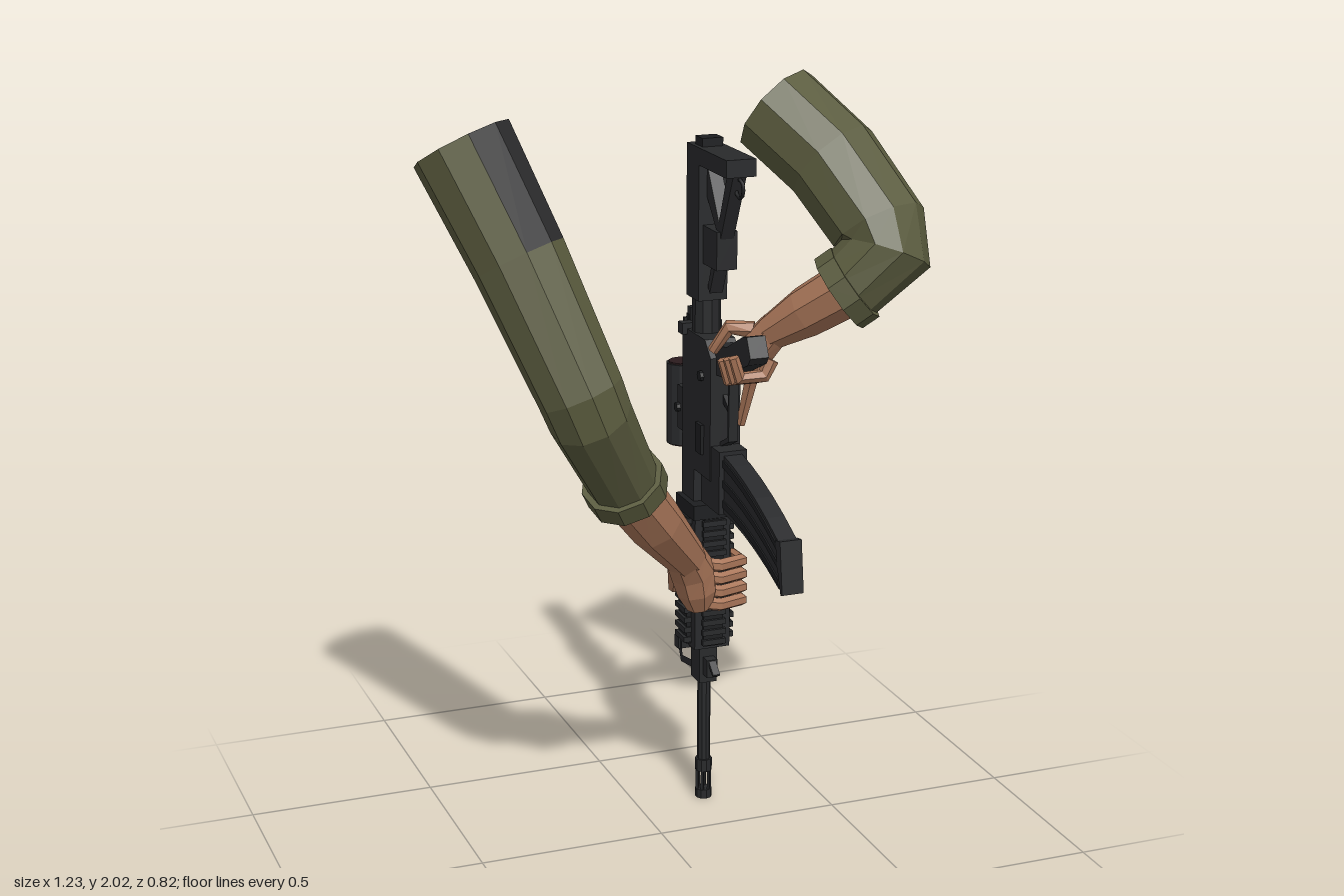
import * as THREE from 'three';

const mat = (name, color) => Object.assign(new THREE.MeshStandardMaterial({ color }), { name });
const olive = mat('olive sleeve', 0x5a5b3e);
const patch = mat('dark sleeve patch', 0x2c2c2d);
const skin = mat('skin', 0xa87558);
const metal = mat('gun metal', 0x28292b);
const dark = mat('dark metal', 0x1d1e20);
const lens = mat('lens', 0x2c1c1e);
const V = (a) => new THREE.Vector3(...a);
const GX = 0.193, GZ = -0.183; // gun axis

export function createModel() {
  const root = new THREE.Group();
  const part = (name) => {
    const g = new THREE.Group();
    g.name = name;
    root.add(g);
    return g;
  };
  const add = (parent, name, geometry, material) => {
    const m = new THREE.Mesh(geometry, material);
    m.name = name;
    parent.add(m);
    return m;
  };
  const box = (p, name, m, x0, x1, y0, y1, z0, z1) => {
    const g = new THREE.BoxGeometry(x1 - x0, y1 - y0, Math.abs(z1 - z0));
    return add(p, name, g.translate((x0 + x1) / 2, (y0 + y1) / 2, (z0 + z1) / 2), m);
  };
  // flat-sided rod between two points
  const rod = (p, name, m, a, b, r, n = 10, r2 = r) => {
    const d = V(b).sub(V(a));
    let g = new THREE.CylinderGeometry(r2, r, d.length(), n).toNonIndexed();
    g.computeVertexNormals();
    g.applyQuaternion(new THREE.Quaternion().setFromUnitVectors(new THREE.Vector3(0, 1, 0), d.clone().normalize()));
    const c = V(a).addScaledVector(d, 0.5);
    return add(p, name, g.translate(c.x, c.y, c.z), m);
  };
  // side profile of [z, y] points, extruded across x
  const plate = (p, name, m, pts, x0, x1, hole) => {
    const shape = new THREE.Shape(pts.map((q) => new THREE.Vector2(...q)));
    if (hole) shape.holes.push(new THREE.Path(hole.map((q) => new THREE.Vector2(...q))));
    const g = new THREE.ExtrudeGeometry(shape, { depth: x1 - x0, bevelEnabled: false });
    return add(p, name, g.rotateY(-Math.PI / 2).translate(x1, 0, 0), m);
  };
  // faceted limb through rings [x, y, z, radius]; painted faces take the second material
  const limb = (p, name, mats, rings, n, ref, painted = () => false) => {
    const c = rings.map((r) => V(r));
    const loops = rings.map((r, i) => {
      const T = new THREE.Vector3();
      if (i > 0) T.add(c[i].clone().sub(c[i - 1]).normalize());
      if (i < c.length - 1) T.add(c[i + 1].clone().sub(c[i]).normalize());
      T.normalize();
      const u = V(ref).addScaledVector(T, -T.dot(V(ref))).normalize();
      const v = T.clone().cross(u);
      return Array.from({ length: n }, (_, j) => {
        const a = (j / n) * Math.PI * 2;
        return c[i].clone().addScaledVector(u, Math.cos(a) * r[3]).addScaledVector(v, Math.sin(a) * r[3]);
      });
    });
    const out = [[], []], last = loops.length - 1;
    for (let j = 0; j < n; j++) {
      const k = (j + 1) % n;
      for (let i = 0; i < last; i++) {
        const [a, b, d, e] = [loops[i][j], loops[i][k], loops[i + 1][k], loops[i + 1][j]];
        out[painted(i, j) ? 1 : 0].push(a, b, d, a, d, e);
      }
      out[0].push(c[0], loops[0][k], loops[0][j], c[last], loops[last][j], loops[last][k]);
    }
    const g = new THREE.BufferGeometry().setFromPoints([...out[0], ...out[1]]);
    g.addGroup(0, out[0].length, 0);
    if (out[1].length) g.addGroup(out[0].length, out[1].length, 1);
    g.computeVertexNormals();
    return add(p, name, g, mats);
  };

  // arm reaching to the handguard, with a dark patch on the inner half of the upper sleeve
  const sup = part('supportArm');
  limb(sup, 'sleeve', [olive, patch], [
    [-0.49, 1.885, -0.07, 0.13], [-0.385, 1.615, 0.045, 0.12], [-0.275, 1.3, 0.175, 0.108],
    [-0.25, 1.235, 0.175, 0.105], [-0.12, 1.01, 0.07, 0.09],
  ], 10, [0, 0, 1], (i, j) => i === 0 && j >= 5);
  limb(sup, 'cuff', [olive], [[-0.137, 1.04, 0.082, 0.108], [-0.112, 0.995, 0.06, 0.108]], 10, [0, 0, 1]);
  limb(sup, 'forearm', [skin], [
    [-0.12, 1.01, 0.07, 0.078], [-0.02, 0.885, 0.01, 0.074], [0.1, 0.745, -0.075, 0.055],
  ], 8, [0, 0, 1]);
  limb(sup, 'palm', [skin], [
    [0.09, 0.755, -0.07, 0.055], [0.125, 0.7, -0.1, 0.062], [0.14, 0.64, -0.105, 0.055], [0.15, 0.59, -0.11, 0.035],
  ], 8, [0, 0, 1]);
  limb(sup, 'thumb', [skin], [
    [0.11, 0.74, -0.11, 0.026], [0.11, 0.68, -0.18, 0.024], [0.118, 0.61, -0.215, 0.016],
  ], 6, [1, 0, 0]);
  for (let i = 0; i < 4; i++) {
    const y = 0.597 + i * 0.037;
    limb(sup, 'finger', [skin], [
      [0.12, y + 0.012, -0.105, 0.018], [0.2, y, -0.087, 0.018],
      [0.268, y, -0.105, 0.018], [0.268, y, -0.185, 0.013],
    ], 6, [0, 1, 0]);
  }

  // arm holding the pistol grip
  const grip = part('triggerArm');
  const bend = [0.66, -0.34, -0.75];
  limb(grip, 'sleeve', [olive], [
    [0.345, 1.915, -0.09, 0.126], [0.44, 1.8, 0.05, 0.125], [0.505, 1.655, 0.19, 0.122],
    [0.51, 1.595, 0.225, 0.115], [0.41, 1.505, 0.2, 0.095],
  ], 10, bend);
  limb(grip, 'cuff', [olive], [[0.435, 1.525, 0.21, 0.105], [0.398, 1.495, 0.193, 0.105]], 10, bend);
  limb(grip, 'forearm', [skin], [
    [0.41, 1.505, 0.2, 0.072], [0.34, 1.44, 0.13, 0.066], [0.268, 1.375, 0.065, 0.045],
  ], 8, bend);
  limb(grip, 'palm', [skin], [
    [0.28, 1.39, 0.075, 0.045], [0.25, 1.34, 0.045, 0.05], [0.24, 1.28, 0.02, 0.034],
  ], 8, bend);
  limb(grip, 'indexFinger', [skin], [
    [0.25, 1.31, 0.03, 0.02], [0.245, 1.22, -0.005, 0.018], [0.235, 1.11, -0.04, 0.013],
  ], 6, [1, 0, 0]);
  limb(grip, 'thumb', [skin], [
    [0.235, 1.38, 0.04, 0.023], [0.18, 1.385, 0.01, 0.02], [0.145, 1.32, -0.015, 0.014],
  ], 6, [0, 0, 1]);
  for (let i = 0; i < 3; i++) {
    const z = 0.045 + i * 0.037, y = 1.262 + i * 0.012;
    limb(grip, 'finger', [skin], [
      [0.25, y + 0.035, z, 0.02], [0.23, y - 0.005, z, 0.019], [0.165, y - 0.005, z, 0.018], [0.148, y + 0.05, z, 0.014],
    ], 6, [0, 0, 1]);
  }

  // barrel and slotted muzzle
  const barrel = part('barrel');
  rod(barrel, 'tube', metal, [GX, 0.1, GZ], [GX, 0.48, GZ], 0.018);
  rod(barrel, 'muzzleTip', metal, [GX, 0, GZ], [GX, 0.025, GZ], 0.023);
  rod(barrel, 'muzzleCollar', metal, [GX, 0.08, GZ], [GX, 0.115, GZ], 0.023);
  for (let i = 0; i < 6; i++) {
    const a = (i / 6) * Math.PI * 2, x = GX + Math.cos(a) * 0.018, z = GZ + Math.sin(a) * 0.018;
    rod(barrel, 'muzzleProng', metal, [x, 0.02, z], [x, 0.085, z], 0.005, 4);
  }

  // front sight block, folding frame and lug
  const sight = part('frontSight');
  box(sight, 'block', metal, GX - 0.025, GX + 0.025, 0.35, 0.45, -0.217, -0.152);
  plate(sight, 'frame', metal, [[-0.2, 0.37], [-0.32, 0.35], [-0.335, 0.38], [-0.335, 0.42], [-0.32, 0.45], [-0.2, 0.43]],
    GX - 0.014, GX + 0.014, [[-0.22, 0.388], [-0.308, 0.372], [-0.318, 0.4], [-0.308, 0.428], [-0.22, 0.412]]);
  box(sight, 'post', metal, GX - 0.02, GX + 0.02, 0.385, 0.418, -0.355, -0.325);
  box(sight, 'lug', metal, GX - 0.015, GX + 0.015, 0.375, 0.425, -0.155, -0.122);
  plate(sight, 'slingHook', metal, [[-0.125, 0.425], [-0.09, 0.395], [-0.095, 0.388], [-0.125, 0.41]], GX - 0.01, GX + 0.01);

  // handguard with toothed rails on all four sides
  const guard = part('handguard');
  box(guard, 'body', metal, 0.143, 0.243, 0.46, 0.87, -0.243, -0.125);
  box(guard, 'endRing', dark, 0.136, 0.25, 0.83, 0.87, -0.25, -0.118);
  box(guard, 'sideRails', dark, 0.13, 0.256, 0.47, 0.83, -0.212, -0.154);
  box(guard, 'lowerRail', dark, 0.165, 0.221, 0.47, 0.83, -0.13, -0.116);
  for (let i = 0; i < 13; i++) {
    const y = 0.475 + i * 0.028;
    box(guard, 'sideTooth', metal, 0.122, 0.264, y, y + 0.015, -0.217, -0.149);
    box(guard, 'lowerTooth', metal, 0.16, 0.226, y, y + 0.015, -0.12, -0.108);
  }
  box(guard, 'topRail', dark, 0.168, 0.218, 0.46, 1.36, -0.258, -0.24);
  for (let i = 0; i < 32; i++) {
    const y = 0.465 + i * 0.028;
    box(guard, 'topTooth', metal, 0.162, 0.224, y, y + 0.015, -0.267, -0.255);
  }

  // receiver
  const rec = part('receiver');
  plate(rec, 'body', metal, [[-0.245, 0.87], [-0.16, 0.87], [-0.16, 0.96], [-0.045, 0.96], [-0.045, 1.29],
    [-0.085, 1.33], [-0.245, 1.33]], 0.152, 0.235);
  box(rec, 'magazineWell', metal, 0.155, 0.232, 0.885, 1.055, -0.115, 0.012);
  box(rec, 'ejectionPort', dark, 0.233, 0.24, 1.0, 1.13, -0.21, -0.15);
  box(rec, 'caseDeflector', metal, 0.23, 0.25, 1.14, 1.18, -0.215, -0.165);
  rod(rec, 'forwardAssist', metal, [0.235, 1.21, -0.195], [0.262, 1.25, -0.195], 0.015, 8);
  box(rec, 'boltCatch', dark, 0.143, 0.155, 1.02, 1.1, -0.13, -0.09);
  rod(rec, 'selector', dark, [0.143, 1.23, -0.105], [0.244, 1.23, -0.105], 0.014, 8);
  box(rec, 'chargingHandle', metal, 0.138, 0.25, 1.315, 1.345, -0.24, -0.21);
  box(rec, 'rearSight', metal, 0.17, 0.216, 1.29, 1.38, -0.255, -0.23);
  plate(rec, 'triggerGuard', metal, [[-0.05, 1.05], [0.012, 1.08], [0.015, 1.24], [-0.05, 1.28]], 0.18, 0.206,
    [[-0.046, 1.064], [0.003, 1.09], [0.006, 1.232], [-0.046, 1.265]]);
  plate(rec, 'trigger', dark, [[-0.05, 1.17], [-0.005, 1.15], [-0.005, 1.162], [-0.05, 1.195]], 0.187, 0.199);
  plate(rec, 'pistolGrip', metal, [[-0.05, 1.245], [0.0, 1.25], [0.165, 1.325], [0.18, 1.345], [0.155, 1.395],
    [0.13, 1.39], [0.02, 1.335], [-0.06, 1.325]], 0.168, 0.218);

  // curved magazine with side ribs
  const mag = part('magazine');
  const arc = (t, s) => [0.37 * t, 0.968 - 0.03 * t - 0.07 * t * t + s * (0.078 - 0.016 * t) * 1.0 + 0];
  const steps = [0, 0.2, 0.4, 0.6, 0.8, 1];
  const band = (s0, s1) => [...steps.map((t) => arc(t, s0)), ...[...steps].reverse().map((t) => arc(t, s1))];
  const lean = (pts) => pts.map(([z, y]) => [z + (0.9 - y) * 0.25 * Math.max(0, z), y]);
  plate(mag, 'body', metal, lean(band(-1, 1)), 0.168, 0.218);
  for (const s of [-0.8, -0.1, 0.6]) plate(mag, 'rib', dark, lean(band(s, s + 0.25)), 0.164, 0.222);
  plate(mag, 'floorPlate', metal, [[0.362, 0.93], [0.39, 0.935], [0.408, 0.8], [0.398, 0.796], [0.375, 0.86]], 0.164, 0.222);

  // buffer tube and skeleton stock
  const stock = part('stock');
  rod(stock, 'bufferTube', metal, [GX, 1.32, -0.178], [GX, 1.45, -0.178], 0.038);
  box(stock, 'spine', metal, 0.153, 0.233, 1.42, 1.82, -0.22, -0.135);
  box(stock, 'lowerBlock', metal, 0.165, 0.221, 1.52, 1.62, -0.138, -0.04);
  box(stock, 'buttPlate', metal, 0.153, 0.233, 1.775, 1.82, -0.215, 0.05);
  box(stock, 'buttHeel', dark, 0.165, 0.221, 1.815, 1.842, -0.19, -0.14);
  plate(stock, 'strut', metal, [[0.045, 1.785], [0.005, 1.785], [-0.125, 1.46], [-0.112, 1.445]], 0.175, 0.211);
  plate(stock, 'brace', metal, [[-0.13, 1.77], [-0.14, 1.7], [-0.06, 1.61], [-0.035, 1.615]], 0.175, 0.211);
  add(stock, 'slingLoop', new THREE.TorusGeometry(0.024, 0.005, 5, 8).rotateY(Math.PI / 2).translate(GX, 1.745, 0.04), dark);

  // optic on its mount
  const optic = part('optic');
  box(optic, 'mount', metal, 0.16, 0.226, 1.035, 1.155, -0.3, -0.262);
  box(optic, 'mountNeck', metal, 0.172, 0.214, 1.05, 1.14, -0.325, -0.295);
  rod(optic, 'clampScrew', dark, [0.15, 1.095, -0.29], [0.24, 1.095, -0.29], 0.013, 8);
  rod(optic, 'tube', metal, [GX, 0.977, -0.353], [GX, 1.2, -0.353], 0.043, 12);
  rod(optic, 'frontLens', lens, [GX, 0.973, -0.353], [GX, 0.979, -0.353], 0.037, 12);
  rod(optic, 'rearLens', lens, [GX, 1.198, -0.353], [GX, 1.204, -0.353], 0.037, 12);
  rod(optic, 'topKnob', metal, [GX, 1.095, -0.39], [GX, 1.095, -0.411], 0.016, 8);
  rod(optic, 'sideKnob', metal, [0.23, 1.095, -0.353], [0.253, 1.095, -0.353], 0.016, 8);
  rod(optic, 'angledKnob', metal, [0.215, 1.06, -0.375], [0.243, 1.06, -0.403], 0.012, 8);

  return root;
}
